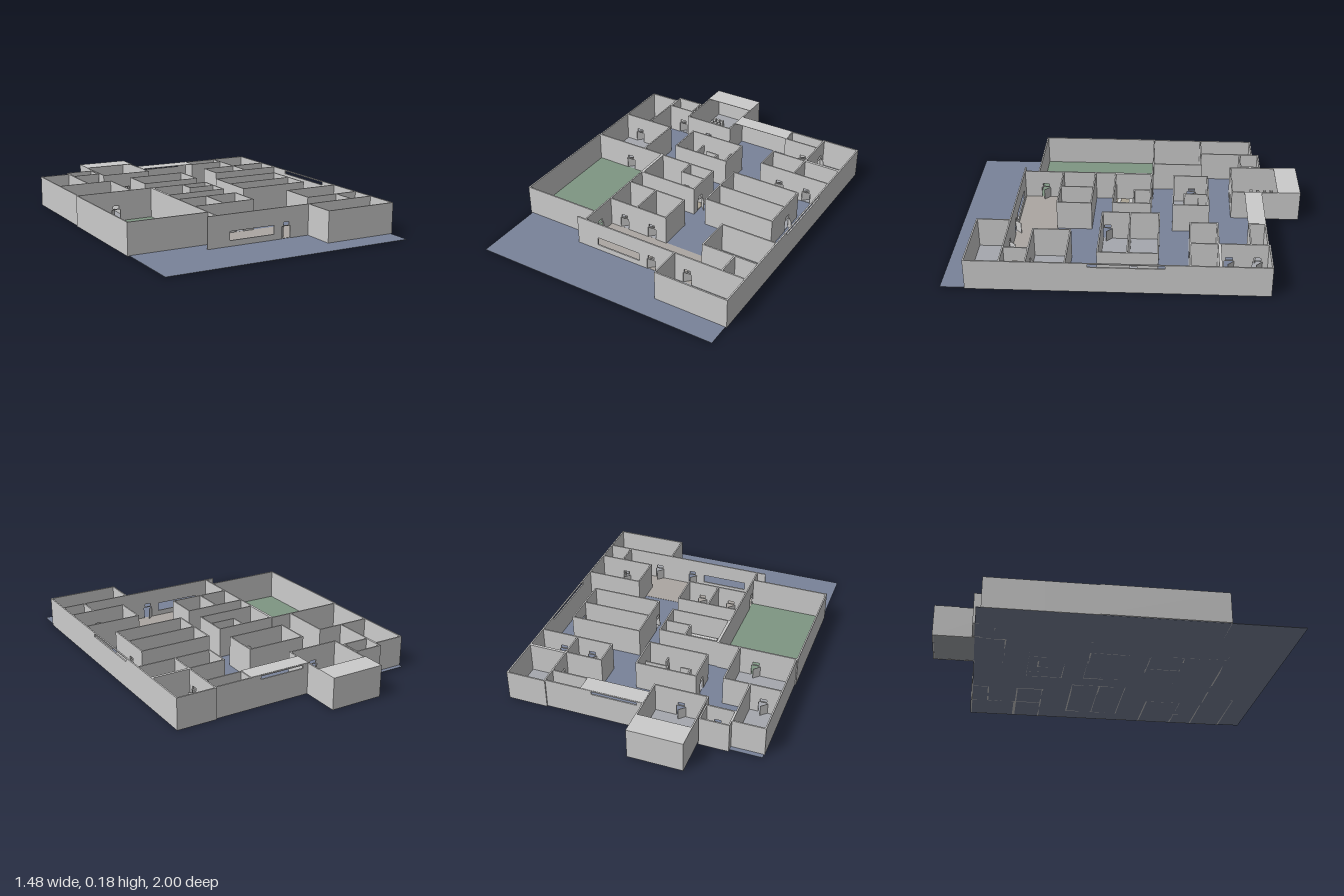
import * as THREE from 'three';

const H = 0.18, T = 0.008;
const mat = (color) => new THREE.MeshStandardMaterial({ color, flatShading: true });
const GREY = mat(0xcccccc), FLOOR = mat(0xa5a8ae), BLUE = mat(0x79839a),
  GREEN = mat(0x7f9683), BEIGE = mat(0xaba393), LOBBY = mat(0xaca7a2);

function box(parent, name, x0, x1, y0, y1, z0, z1, material = GREY) {
  const m = new THREE.Mesh(new THREE.BoxGeometry(x1 - x0, y1 - y0, z1 - z0), material);
  m.position.set((x0 + x1) / 2, (y0 + y1) / 2, (z0 + z1) / 2);
  m.name = name;
  parent.add(m);
  return m;
}

// A doorway (number = centre along the wall) or a window [start, end, sill, head]
const asOpening = (o) => (typeof o === 'number'
  ? { a: o - 0.027, b: o + 0.027, y0: 0, y1: 0.072, door: o }
  : { a: o[0], b: o[1], y0: o[2], y1: o[3] });

// Straight wall along x or z, split around its openings
function wall(parent, name, x0, z0, x1, z1, openings = [], h = H) {
  const g = new THREE.Group();
  g.name = name;
  parent.add(g);
  const alongX = Math.abs(x1 - x0) > Math.abs(z1 - z0);
  const c = alongX ? z0 : x0;
  const start = (alongX ? x0 : z0) - T / 2, end = (alongX ? x1 : z1) + T / 2;
  const piece = (a, b, y0, y1) => {
    if (b - a < 1e-4 || y1 - y0 < 1e-4) return;
    if (alongX) box(g, 'wallPanel', a, b, y0, y1, c - T / 2, c + T / 2);
    else box(g, 'wallPanel', c - T / 2, c + T / 2, y0, y1, a, b);
  };
  let at = start;
  for (const o of openings.map(asOpening).sort((p, q) => p.a - q.a)) {
    piece(at, o.a, 0, h);
    piece(o.a, o.b, 0, o.y0);
    if (o.door === undefined) piece(o.a, o.b, o.y1, h);
    else {
      // lintel with a small transom light over the door
      piece(o.a, o.b, o.y1, 0.076);
      piece(o.a, o.a + 0.008, 0.076, 0.095);
      piece(o.b - 0.008, o.b, 0.076, 0.095);
      piece(o.a, o.b, 0.095, h);
      // door leaf standing ajar on its hinge
      const hinge = new THREE.Group();
      hinge.name = 'doorLeaf';
      hinge.position.set(alongX ? o.a : c, 0, alongX ? c : o.a);
      hinge.rotation.y = (alongX ? 0 : -Math.PI / 2) + Math.PI / 4;
      box(hinge, 'doorPanel', 0, 0.05, 0.004, 0.07, -0.0015, 0.0015);
      g.add(hinge);
    }
    at = o.b;
  }
  piece(at, end, 0, h);
}

// Floor with up to four walls; a side set to null is left open
function room(parent, name, x0, z0, x1, z1, floor, { n = [], s = [], e = [], w = [] } = {}) {
  const g = new THREE.Group();
  g.name = name;
  parent.add(g);
  box(g, 'roomFloor', x0, x1, 0.001, 0.005, z0, z1, floor);
  if (n) wall(g, 'backWall', x0, z0, x1, z0, n);
  if (s) wall(g, 'frontWall', x0, z1, x1, z1, s);
  if (w) wall(g, 'rightWall', x0, z0, x0, z1, w);
  if (e) wall(g, 'leftWall', x1, z0, x1, z1, e);
  return g;
}

export function createModel() {
  const model = new THREE.Group();
  model.name = 'schoolBuilding';
  box(model, 'ground', -0.73, 0.73, 0, 0.003, -0.77, 1, BLUE);

  // Right wing
  room(model, 'lockerRoom', -0.73, -0.74, -0.55, -0.42, FLOOR, { s: null });
  room(model, 'storeRoom', -0.545, -0.78, -0.385, -0.665, FLOOR, { s: [-0.45] });
  room(model, 'gym', -0.73, -0.42, -0.4, -0.12, FLOOR, { n: [-0.63], s: null });
  room(model, 'yard', -0.736, -0.12, -0.27, 0.58, GREEN, { n: [-0.5], e: [0.54] });

  // Hall with seats and a partial roof
  const hall = room(model, 'assemblyHall', -0.371, -0.996, -0.066, -0.6, FLOOR, { s: [-0.22] });
  box(hall, 'hallRoof', -0.375, -0.062, H, H + 0.003, -1, -0.865);
  for (const cx of [-0.293, -0.145])
    for (let i = -1; i <= 1; i++)
      for (let r = 0; r < 4; r++) {
        const x = cx + i * 0.027, z = -0.858 + r * 0.042;
        box(hall, 'seat', x - 0.009, x + 0.009, 0.005, 0.05, z - 0.009, z + 0.009);
      }

  // Library and its shelves
  const library = room(model, 'library', -0.25, -0.455, 0.1, -0.25, FLOOR, { w: [-0.36] });
  for (const [x0, z0, x1, z1] of [
    [-0.17, -0.45, -0.17, -0.315], [-0.17, -0.315, -0.115, -0.315],
    [-0.115, -0.4, -0.04, -0.4], [-0.04, -0.4, -0.04, -0.33],
    [-0.04, -0.33, 0.1, -0.33], [0.03, -0.455, 0.03, -0.375], [-0.015, -0.29, -0.015, -0.25],
  ]) wall(library, 'bookshelf', x0, z0, x1, z1, [], 0.1);

  // Dining room, kitchen and two long tables
  const dining = room(model, 'diningRoom', -0.262, -0.115, 0.09, 0.105, BEIGE, { e: [0.04] });
  wall(dining, 'kitchenSideWall', -0.065, -0.115, -0.065, -0.015);
  wall(dining, 'kitchenFrontWall', -0.065, -0.015, 0.09, -0.015, [-0.028]);
  for (const z of [0.011, 0.08]) {
    box(dining, 'tableTop', -0.2, 0.025, 0.035, 0.042, z - 0.011, z + 0.011);
    for (const x of [-0.185, 0.01])
      box(dining, 'tableLeg', x - 0.005, x + 0.005, 0.004, 0.035, z - 0.006, z + 0.006);
  }

  // Classrooms
  room(model, 'classroomA', 0.295, -0.5, 0.51, -0.345, FLOOR, { s: [0.42] });
  room(model, 'classroomB', 0.51, -0.5, 0.733, -0.345, FLOOR, { w: null, s: [0.6], e: null });
  room(model, 'classroomC', -0.27, 0.23, -0.09, 0.428, FLOOR, { s: [-0.175], w: null });
  room(model, 'classroomD', -0.09, 0.23, 0.1, 0.428, FLOOR, { w: null, s: [0.01] });
  room(model, 'middleRoomBack', 0.2, -0.17, 0.62, -0.005, FLOOR, { e: [-0.04] });
  room(model, 'middleRoomFront', 0.2, -0.005, 0.62, 0.155, FLOOR, { n: null, w: [0.125] });

  // Back left corner rooms
  room(model, 'restroom', 0.295, -0.768, 0.51, -0.675, FLOOR, { n: null, e: null, s: [0.42] });
  room(model, 'artRoom', 0.51, -0.776, 0.733, -0.508, FLOOR, { w: [-0.715, -0.56], e: null });

  // Front left rooms
  room(model, 'computerRoom', 0.4, 0.32, 0.733, 0.53, FLOOR, { s: [0.57], e: null });
  room(model, 'office', 0.595, 0.53, 0.73, 0.67, FLOOR, { n: null, s: null, e: null, w: [0.6] });
  room(model, 'frontRoom', 0.31, 0.67, 0.73, 0.86, FLOOR, { n: null, e: null });

  // Lobby with the entrance door and wide front window
  box(model, 'lobbyFloor', -0.27, 0.6, 0.001, 0.0045, 0.428, 0.67, LOBBY);
  wall(model, 'lobbySideWall', -0.27, 0.58, -0.27, 0.67);
  wall(model, 'entranceWall', -0.32, 0.67, 0.73, 0.67, [[-0.19, 0.085, 0.035, 0.085], 0.162, 0.39]);

  // Outer walls with high strip windows, and the covered strip at the back
  wall(model, 'leftOuterWall', 0.733, -0.776, 0.733, 0.86, [[-0.21, 0.2, 0.156, 0.174]]);
  wall(model, 'backOuterWall', -0.066, -0.768, 0.51, -0.768, [[-0.03, 0.235, 0.156, 0.174]]);
  box(model, 'backRoof', -0.066, 0.295, H, H + 0.002, -0.77, -0.67);
  return model;
}
